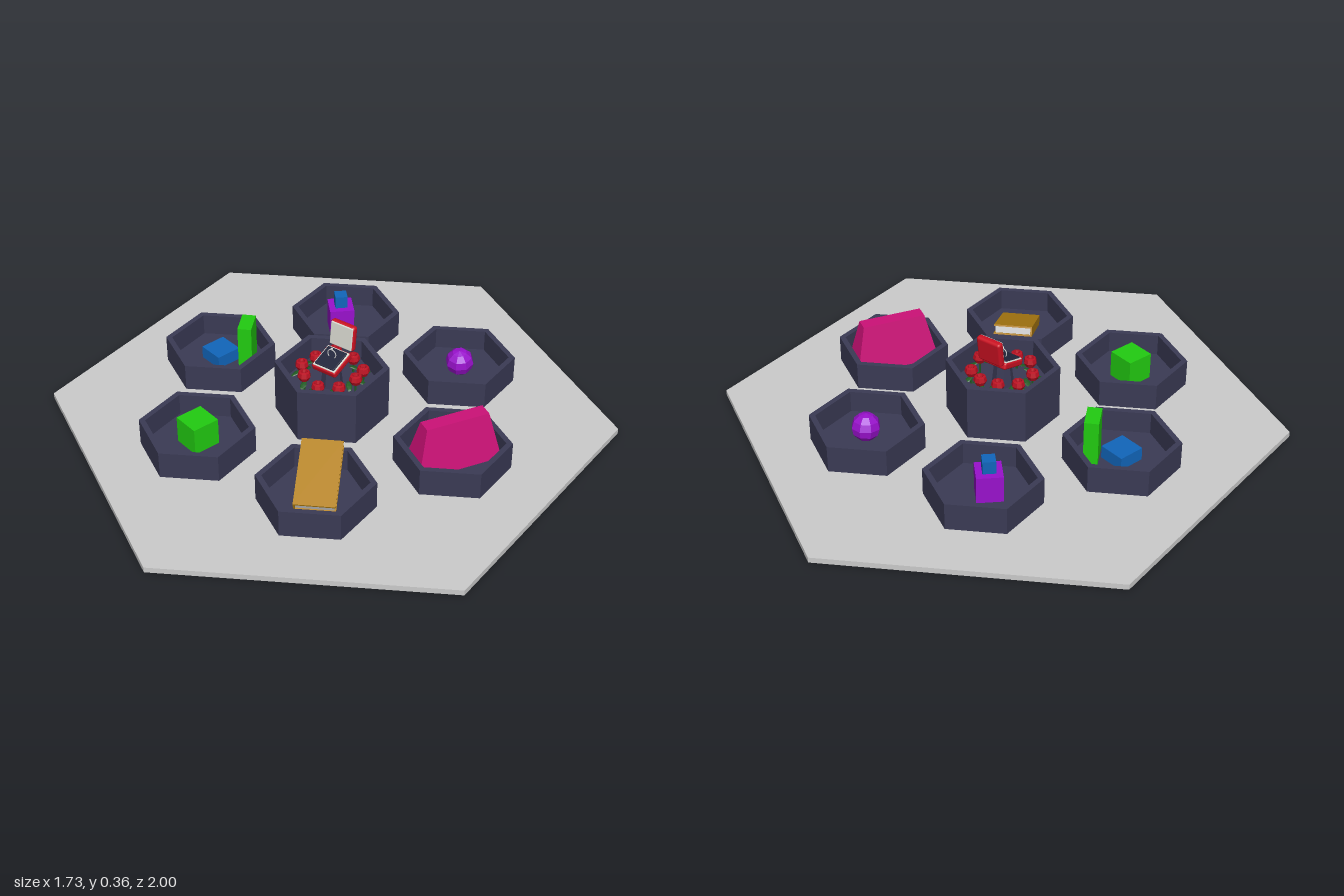
import * as THREE from 'three';
import { RoundedBoxGeometry } from 'three/addons/geometries/RoundedBoxGeometry.js';

const mat = (color, flatShading = true) => new THREE.MeshStandardMaterial({ color, flatShading });
const M = {
  base: mat(0xcccccc), tray: mat(0x3a3a55), green: mat(0x22cc11), blue: mat(0x1166bb),
  purple: mat(0x9911cc), pink: mat(0xcc1177), gold: mat(0xb38011), paper: mat(0xdddddd),
  red: mat(0xcc1122, false), cushion: mat(0x22263c, false), white: mat(0xd8d8d0, false),
  silver: mat(0xcccccc, false), leaf: mat(0x1f5a22), rose: mat(0xbb1122),
};
M.leaf.side = THREE.DoubleSide;

function add(parent, name, geometry, material, x = 0, y = 0, z = 0, ry = 0, rx = 0) {
  const mesh = new THREE.Mesh(geometry, material);
  mesh.name = name;
  mesh.position.set(x, y, z);
  mesh.rotation.set(rx, ry, 0, 'YXZ');
  parent.add(mesh);
  return mesh;
}

const box = (w, h, d) => new THREE.BoxGeometry(w, h, d);

function group(parent, name, x, y, z, ry = 0, rx = 0) {
  const g = new THREE.Group();
  g.name = name;
  g.position.set(x, y, z);
  g.rotation.set(rx, ry, 0, 'YXZ');
  parent.add(g);
  return g;
}

const hexPoints = (r) => Array.from({ length: 6 }, (_, i) => {
  const a = Math.PI / 2 + i * Math.PI / 3;
  return new THREE.Vector2(r * Math.cos(a), r * Math.sin(a));
});

// Hollow hexagonal tray with a floor
function addTray(parent, name, x, z, height, floor) {
  const tray = group(parent, name, x, 0.02, z);
  const shape = new THREE.Shape(hexPoints(0.2));
  shape.holes.push(new THREE.Path(hexPoints(0.178)));
  const wall = new THREE.ExtrudeGeometry(shape, { depth: height, bevelEnabled: false });
  wall.rotateX(-Math.PI / 2);
  add(tray, 'trayWall', wall, M.tray);
  add(tray, 'trayFloor', new THREE.CylinderGeometry(0.18, 0.18, floor, 6), M.tray, 0, floor / 2);
}

// Box whose top is narrowed
function frustum(w, h, d, topW, topD) {
  const g = box(w, h, d), p = g.attributes.position;
  for (let i = 0; i < p.count; i++) {
    if (p.getY(i) > 0) p.setXYZ(i, p.getX(i) * topW / w, p.getY(i), p.getZ(i) * topD / d);
  }
  g.computeVertexNormals();
  return g;
}

// Leaning book: two covers, spine and pages
function addBook(parent) {
  const book = group(parent, 'book', 0.23, 0.098, 0.39, 0.51, 0.37);
  for (const s of [-1, 1]) add(book, 'bookCover', box(0.14, 0.006, 0.25), M.gold, 0, s * 0.015, 0);
  add(book, 'bookSpine', box(0.006, 0.03, 0.25), M.gold, -0.067, 0, 0);
  add(book, 'bookPages', box(0.13, 0.026, 0.24), M.paper, 0, 0, 0);
}

// Small rose with a stem and two leaves
function addRose(parent, angle, radius, height) {
  const rose = group(parent, 'rose', radius * Math.sin(angle), 0, radius * Math.cos(angle), angle);
  add(rose, 'roseStem', new THREE.CylinderGeometry(0.004, 0.004, height - 0.14, 5), M.leaf, 0, (height + 0.14) / 2);
  const profile = [[0, -0.022], [0.016, -0.016], [0.024, 0], [0.02, 0.016], [0.012, 0.018], [0.009, 0.008], [0, 0.012]];
  const bloom = new THREE.LatheGeometry(profile.map(([r, y]) => new THREE.Vector2(r, y)), 8);
  add(rose, 'roseBloom', bloom, M.rose, 0, height, 0);
  for (const s of [-1, 1]) {
    const leaf = new THREE.SphereGeometry(1, 6, 4).scale(0.011, 0.003, 0.024);
    add(rose, 'roseLeaf', leaf, M.leaf, s * 0.022, height - 0.022, s * 0.012, s * 0.8, 0.3);
  }
}

// Open ring case with a cushion and a ring
function addRingCase(parent) {
  const ringCase = group(parent, 'ringCase', 0, 0, 0);
  add(ringCase, 'caseSupport', new THREE.CylinderGeometry(0.03, 0.04, 0.09, 8), M.tray, 0, 0.18);
  const tray = group(ringCase, 'caseBottom', 0, 0.234, 0, 0, 0.3);
  add(tray, 'caseShell', new RoundedBoxGeometry(0.1, 0.026, 0.105, 2, 0.008), M.red);
  add(tray, 'caseTrim', new RoundedBoxGeometry(0.092, 0.006, 0.096, 2, 0.003), M.white, 0, 0.012);
  add(tray, 'caseCushion', new RoundedBoxGeometry(0.082, 0.01, 0.086, 2, 0.004), M.cushion, 0, 0.014);
  const lid = group(ringCase, 'caseLid', 0, 0.307, -0.068, 0, -0.12);
  add(lid, 'lidShell', new RoundedBoxGeometry(0.1, 0.096, 0.026, 2, 0.01), M.red);
  add(lid, 'lidLining', new RoundedBoxGeometry(0.092, 0.088, 0.008, 2, 0.004), M.white, 0, 0, 0.011);
  add(ringCase, 'ring', new THREE.TorusGeometry(0.017, 0.002, 6, 24), M.silver, 0, 0.265, 0);
  add(ringCase, 'ringStone', new THREE.OctahedronGeometry(0.006), M.paper, 0, 0.286, 0);
}

export function createModel() {
  const model = new THREE.Group();
  model.name = 'hexagonalDisplay';

  // Ground slab and seven trays
  add(model, 'baseSlab', new THREE.CylinderGeometry(1, 1, 0.02, 6), M.base, 0, 0.01);
  addTray(model, 'centerTray', 0, 0, 0.2, 0.12);
  for (let i = 0; i < 6; i++) {
    const a = i * Math.PI / 3;
    addTray(model, 'outerTray', 0.5 * Math.cos(a), 0.5 * Math.sin(a), 0.1, 0.02);
  }

  // Items in the outer trays
  add(model, 'greenCube', box(0.1, 0.1, 0.1), M.green, -0.25, 0.09, 0.43, -0.24);
  add(model, 'greenUprightBlock', box(0.05, 0.165, 0.095), M.green, -0.415, 0.1225, -0.05, 0.48);
  add(model, 'blueLowBlock', box(0.096, 0.05, 0.096), M.blue, -0.502, 0.062, -0.002, -0.22);
  add(model, 'purpleCube', box(0.09, 0.098, 0.09), M.purple, -0.267, 0.089, -0.425, 0.75);
  add(model, 'blueSmallCube', box(0.045, 0.048, 0.045), M.blue, -0.267, 0.161, -0.425, 0.75);
  add(model, 'purpleBall', new THREE.SphereGeometry(0.051, 8, 6), M.purple, 0.253, 0.09, -0.435, 0.3, 0.15);
  add(model, 'pinkTaperedBlock', frustum(0.115, 0.175, 0.31, 0.05, 0.23), M.pink, 0.503, 0.1275, 0, -0.53);
  addBook(model);

  // Wreath of roses around the ring case
  for (let i = 0; i < 9; i++) addRose(model, i * Math.PI * 2 / 9 + 0.15, 0.103 + 0.006 * (i % 2), 0.19 + 0.006 * (i % 3));
  addRingCase(model);

  return model;
}
